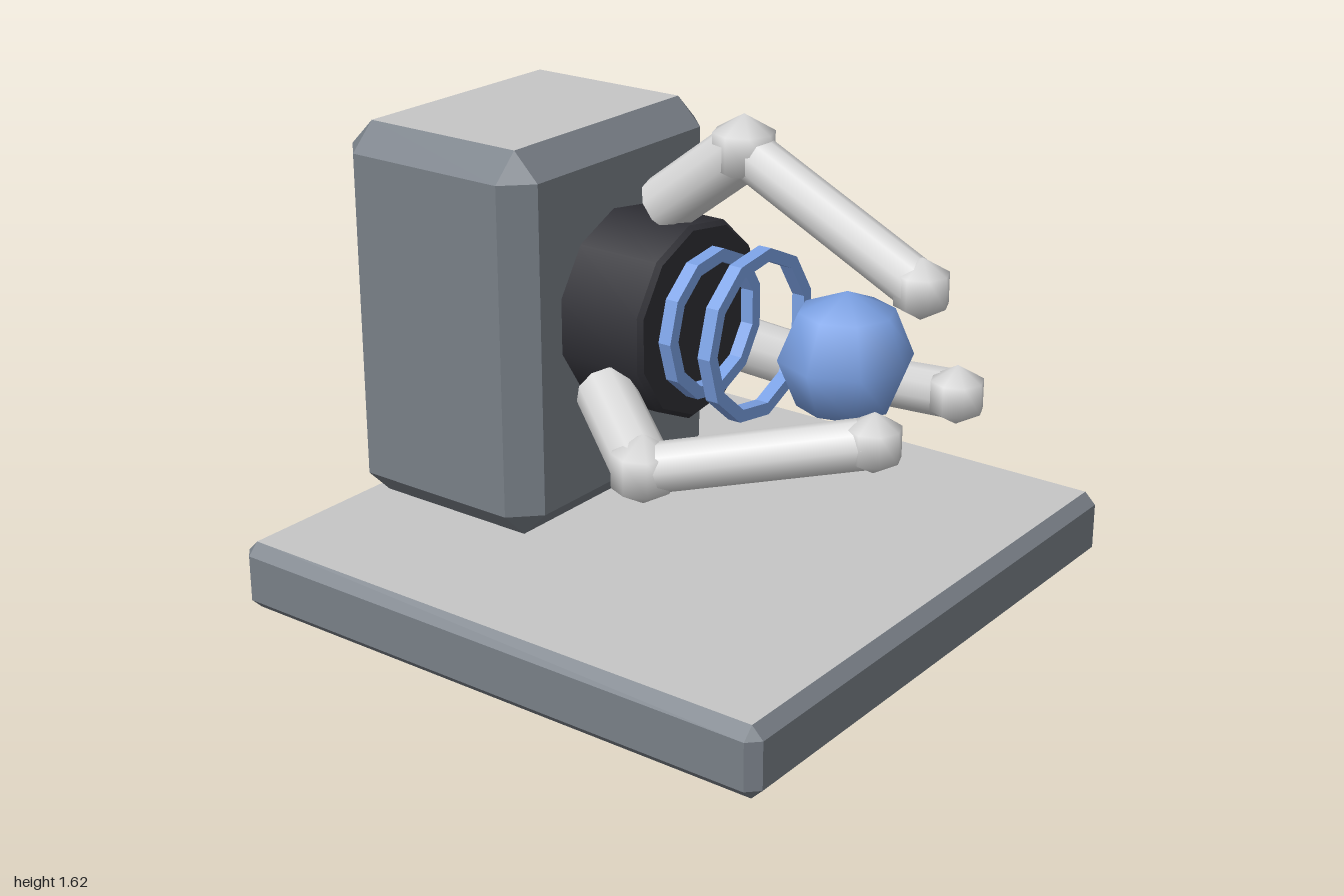
import * as THREE from 'three';
import { ConvexGeometry } from 'three/addons/geometries/ConvexGeometry.js';

const AXIS_Y = 0.925; // height of the drum axis

export function createModel() {
  const mat = (name, color) => {
    const m = new THREE.MeshStandardMaterial({ color });
    m.name = name;
    return m;
  };
  const slate = mat('slate grey', 0x787f87);
  const panel = mat('panel grey', 0xc6c6c6);
  const silver = mat('silver', 0xd9d9d9);
  const black = mat('near black', 0x2f2f35);
  const blue = mat('blue', 0x7ba1e4);

  const model = new THREE.Group();
  model.name = 'graspingMachine';
  const add = (name, geometry, material, parent = model) => {
    const mesh = new THREE.Mesh(geometry, material);
    mesh.name = name;
    parent.add(mesh);
    return mesh;
  };

  // Box with chamfered edges; top and bottom faces take the second material
  function chamferBox(w, h, d, c) {
    const pts = [];
    for (const sx of [-1, 1]) for (const sy of [-1, 1]) for (const sz of [-1, 1]) {
      for (let k = 0; k < 3; k++) {
        pts.push(new THREE.Vector3(
          sx * (w / 2 - (k === 0 ? 0 : c)),
          sy * (h / 2 - (k === 1 ? 0 : c)),
          sz * (d / 2 - (k === 2 ? 0 : c))));
      }
    }
    const geo = new ConvexGeometry(pts);
    const normals = geo.attributes.normal;
    for (let i = 0; i < normals.count; i += 3) {
      geo.addGroup(i, 3, Math.abs(normals.getY(i)) > 0.99 ? 1 : 0);
    }
    return geo;
  }
  add('base', chamferBox(2, 0.23, 2, 0.038), [slate, panel]).position.y = 0.115;
  add('housing', chamferBox(1, 1.27, 0.77, 0.09), [slate, panel]).position.set(0, 0.865, -0.615);

  // Drum with a narrow bevelled rim
  const disc = (rFront, rBack, depth) =>
    new THREE.CylinderGeometry(rFront, rBack, depth, 11, 1, false, Math.PI / 2).rotateX(Math.PI / 2);
  add('drum', disc(0.323, 0.323, 0.31), black).position.set(0, AXIS_Y, -0.09);
  add('drumRim', disc(0.308, 0.323, 0.015), black).position.set(0, AXIS_Y, 0.0725);

  // Floating rings
  function ringGeometry(outer, inner, depth) {
    const loop = (r) => Array.from({ length: 11 }, (_, i) => {
      const a = Math.PI + (i / 11) * Math.PI * 2;
      return new THREE.Vector2(Math.cos(a) * r, Math.sin(a) * r);
    });
    const shape = new THREE.Shape(loop(outer));
    shape.holes.push(new THREE.Path(loop(inner)));
    return new THREE.ExtrudeGeometry(shape, { depth, bevelEnabled: false });
  }
  add('innerRing', ringGeometry(0.242, 0.2, 0.045), blue).position.set(0, AXIS_Y, 0.095);
  add('outerRing', ringGeometry(0.276, 0.235, 0.045), blue).position.set(0, AXIS_Y, 0.268);

  // Ball held between the fingertips
  add('ball', new THREE.SphereGeometry(0.21, 8, 4), blue).position.set(0, AXIS_Y, 0.617);

  // Fingers: two rods with low-sided joints, spaced evenly around the axis
  function rod(name, a, b, radius, parent) {
    const dir = b.clone().sub(a);
    const mesh = add(name, new THREE.CylinderGeometry(radius, radius, dir.length(), 10), silver, parent);
    mesh.position.copy(a).add(b).multiplyScalar(0.5);
    mesh.quaternion.setFromUnitVectors(new THREE.Vector3(0, 1, 0), dir.normalize());
  }
  for (let i = 0; i < 3; i++) {
    const angle = Math.PI / 2 + (i * Math.PI * 2) / 3;
    const at = (r, z) => new THREE.Vector3(Math.cos(angle) * r, AXIS_Y + Math.sin(angle) * r, z);
    const root = at(0.352, -0.064), elbow = at(0.58, 0.235), tip = at(0.27, 0.87);
    const finger = new THREE.Group();
    finger.name = 'finger' + (i + 1);
    model.add(finger);
    rod('upperRod', root, elbow, 0.094, finger);
    rod('lowerRod', elbow, tip, 0.077, finger);
    add('elbowJoint', new THREE.SphereGeometry(0.112, 8, 3), silver, finger).position.copy(elbow);
    add('fingertip', new THREE.SphereGeometry(0.096, 8, 3), silver, finger).position.copy(tip);
  }
  return model;
}
